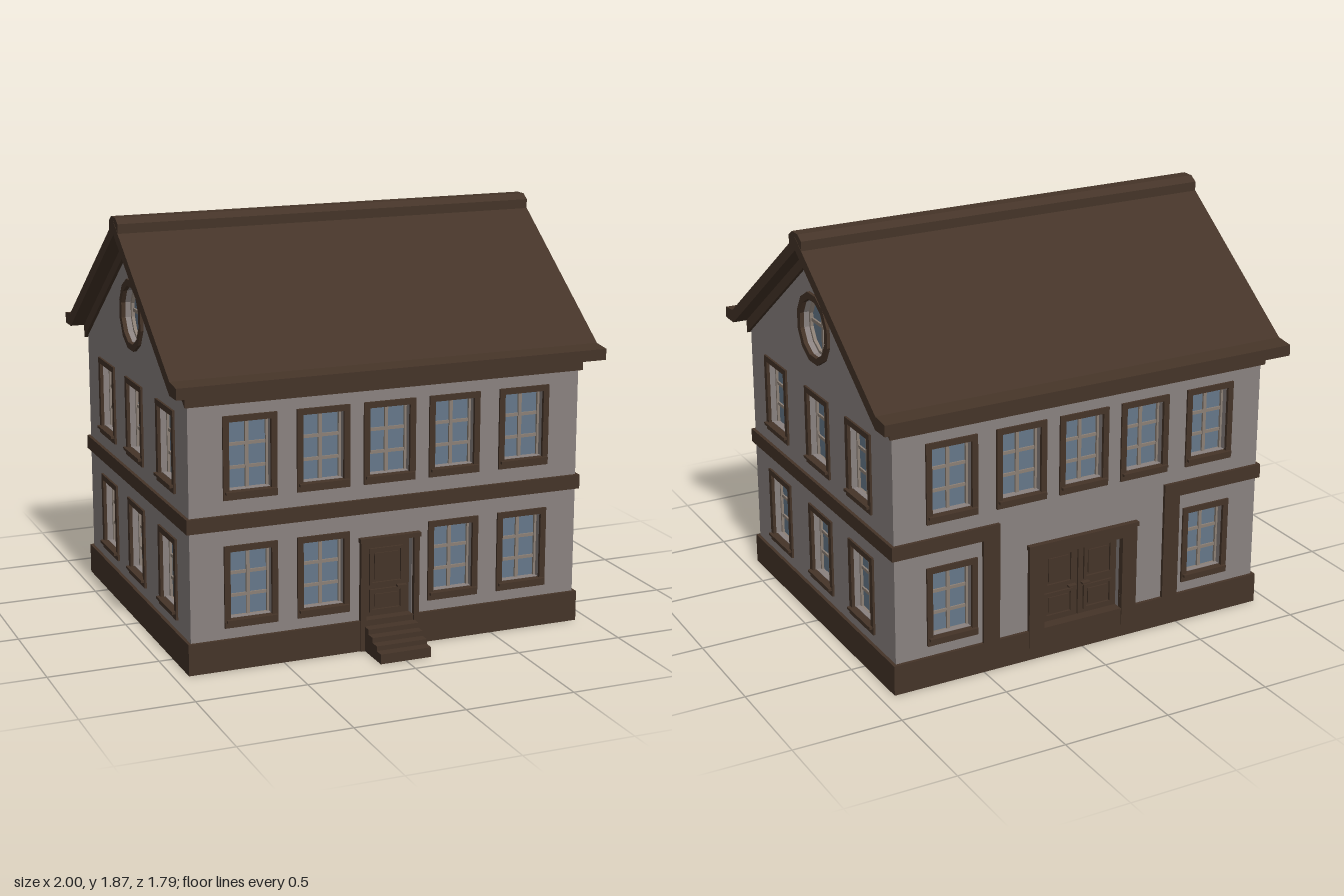
import * as THREE from 'three';

const mat = (name, color) => {
  const m = new THREE.MeshStandardMaterial({ color, flatShading: true });
  m.name = name;
  return m;
};
const M = {
  wall: mat('wall plaster', 0x8a8280),
  wood: mat('dark timber', 0x453428),
  bar: mat('window bar', 0x8c8076),
  glass: mat('window glass', 0x66788a),
};

// Half width, half depth and wall thickness
const HX = 0.92, HZ = 0.745, T = 0.06;

function add(parent, name, geo, m, x = 0, y = 0, z = 0) {
  const mesh = new THREE.Mesh(geo, m);
  mesh.name = name;
  mesh.position.set(x, y, z);
  parent.add(mesh);
  return mesh;
}

// Box given by its limits
function block(parent, name, m, x0, x1, y0, y1, z0, z1) {
  return add(parent, name, new THREE.BoxGeometry(x1 - x0, y1 - y0, z1 - z0), m,
    (x0 + x1) / 2, (y0 + y1) / 2, (z0 + z1) / 2);
}

const poly = (pts, Type = THREE.Shape) => new Type(pts.map(p => new THREE.Vector2(...p)));
const rect = (x0, x1, y0, y1) => [[x0, y0], [x1, y0], [x1, y1], [x0, y1]];
const ring = (r, n, cy = 0) => Array.from({ length: n }, (_, i) => {
  const a = (i + 0.5) / n * Math.PI * 2;
  return [r * Math.cos(a), cy + r * Math.sin(a)];
});

// Flat plate with holes, extruded towards +z
function plate(parent, name, m, outline, holes, z0, z1) {
  const shape = poly(outline);
  holes.forEach(h => shape.holes.push(poly(h, THREE.Path)));
  return add(parent, name,
    new THREE.ExtrudeGeometry(shape, { depth: z1 - z0, bevelEnabled: false }), m, 0, 0, z0);
}

// Recessed sash window, 2 x 3 panes; the wall surface lies at z = 0
function sashWindow(parent, x, y) {
  const g = new THREE.Group();
  g.name = 'sashWindow';
  g.position.set(x, y, 0);
  parent.add(g);
  plate(g, 'windowSurround', M.wood, rect(-0.122, 0.122, 0, 0.367),
    [rect(-0.095, 0.095, 0.028, 0.34)], -0.005, 0.01);
  block(g, 'windowSill', M.wood, -0.115, 0.115, 0.026, 0.038, -0.01, 0.025);
  block(g, 'innerSill', M.wall, -0.095, 0.095, 0.028, 0.04, -0.045, -0.01);
  block(g, 'windowGlass', M.glass, -0.095, 0.095, 0.03, 0.34, -0.052, -0.044);
  plate(g, 'sashFrame', M.bar, rect(-0.095, 0.095, 0.03, 0.34),
    [rect(-0.085, 0.085, 0.04, 0.33)], -0.046, -0.032);
  block(g, 'uprightBar', M.bar, -0.008, 0.008, 0.04, 0.33, -0.046, -0.034);
  for (const v of [0.13, 0.232]) block(g, 'crossBar', M.bar, -0.085, 0.085, v - 0.007, v + 0.007, -0.046, -0.036);
}

// Wall with openings and windows, facing local +z
function facade(house, name, outline, windows, extraHoles, angle, dist) {
  const g = new THREE.Group();
  g.name = name;
  g.rotation.y = angle;
  g.position.set(Math.sin(angle) * dist, 0, Math.cos(angle) * dist);
  house.add(g);
  const holes = windows.map(([x, y]) => rect(x - 0.096, x + 0.096, y + 0.027, y + 0.341));
  plate(g, name + 'Plaster', M.wall, outline, [...holes, ...extraHoles], -T, 0);
  windows.forEach(([x, y]) => sashWindow(g, x, y));
  return g;
}

// Round gable window
function roundWindow(g) {
  const y = 1.43;
  plate(g, 'roundSurround', M.wood, ring(0.163, 12, y), [ring(0.132, 12, y)], -0.005, 0.014);
  plate(g, 'roundGlass', M.glass, ring(0.134, 12, y), [], -0.053, -0.045);
  plate(g, 'roundSash', M.bar, ring(0.133, 12, y), [ring(0.12, 12, y)], -0.046, -0.03);
  block(g, 'roundUprightBar', M.bar, -0.008, 0.008, y - 0.124, y + 0.124, -0.046, -0.034);
  block(g, 'roundCrossBar', M.bar, -0.124, 0.124, y - 0.008, y + 0.008, -0.046, -0.036);
}

// Raised rim and field of a door panel
function doorPanel(g, x0, x1, y0, y1, z) {
  plate(g, 'panelRim', M.wood, rect(x0, x1, y0, y1),
    [rect(x0 + 0.012, x1 - 0.012, y0 + 0.012, y1 - 0.012)], z, z + 0.01);
  block(g, 'panelField', M.wood, x0 + 0.024, x1 - 0.024, y0 + 0.024, y1 - 0.024, z, z + 0.006);
}

// Extrusion of a z-y profile along x
function alongX(parent, name, pts, half) {
  const geo = new THREE.ExtrudeGeometry(poly(pts.map(([z, y]) => [-z, y])), { depth: 2 * half, bevelEnabled: false });
  geo.rotateY(Math.PI / 2);
  return add(parent, name, geo, M.wood, -half, 0, 0);
}
const mirrored = half => [...half, ...half.filter(p => p[0] > 0).reverse().map(([z, y]) => [-z, y])];

export function createModel() {
  const model = new THREE.Group();
  model.name = 'house';
  const house = new THREE.Group();
  house.name = 'houseBody';
  house.position.z = -0.04;
  model.add(house);
  const LOW = 0.19, HIGH = 0.76;
  const cols = [-0.645, -0.31, 0, 0.31, 0.65];
  const upper = cols.map(x => [x, HIGH]);

  // Plinth
  block(house, 'plinth', M.wood, -0.935, 0.935, 0, 0.14, -0.76, 0.76);

  // Front and back walls
  const longWall = rect(-HX, HX, 0.1, 1.23);
  const front = facade(house, 'frontWall', longWall,
    [...upper, ...cols.filter(x => x !== 0).map(x => [x, LOW])], [rect(-0.112, 0.112, 0.12, 0.5)], 0, HZ);
  const back = facade(house, 'backWall', longWall,
    [...upper, [-0.648, LOW], [0.648, LOW]], [rect(-0.2, 0.2, 0.12, 0.5)], Math.PI, HZ);

  // Gable walls
  const gable = [[-0.74, 0.1], [0.74, 0.1], [0.74, 1.22], [0, 1.77], [-0.74, 1.22]];
  const sideWindows = [-0.455, 0, 0.425].flatMap(z => [[z, LOW], [z, HIGH]]);
  for (const s of [1, -1]) {
    const w = facade(house, s > 0 ? 'leftGable' : 'rightGable', gable,
      sideWindows.map(([x, y]) => [x * s, y]), [ring(0.133, 12, 1.43)], s * Math.PI / 2, HX);
    roundWindow(w);
    block(w, 'sideBand', M.wood, -0.76, 0.76, 0.63, 0.695, -0.01, 0.015);
  }

  // Storey bands; at the back they turn down to the plinth beside the door
  block(front, 'frontBand', M.wood, -0.935, 0.935, 0.63, 0.695, -0.01, 0.015);
  for (const s of [1, -1]) {
    const pts = [[0.42, 0.13], [0.5, 0.13], [0.5, 0.63], [0.935, 0.63], [0.935, 0.695], [0.42, 0.695]]
      .map(([x, y]) => [x * s, y]);
    plate(back, 'backBand', M.wood, pts, [], -0.01, 0.015);
  }

  // Front door
  plate(front, 'frontDoorCasing', M.wood,
    [[-0.14, 0], [-0.115, 0], [-0.115, 0.5], [0.115, 0.5], [0.115, 0], [0.14, 0], [0.14, 0.52], [-0.14, 0.52]],
    [], -0.01, 0.022);
  block(front, 'frontDoorLintel', M.wood, -0.145, 0.145, 0.5, 0.52, 0, 0.028);
  block(front, 'frontDoor', M.wood, -0.115, 0.115, 0.12, 0.505, -0.05, -0.03);
  doorPanel(front, -0.08, 0.08, 0.285, 0.455, -0.03);
  doorPanel(front, -0.08, 0.08, 0.16, 0.265, -0.03);
  block(front, 'frontDoorHandle', M.wood, 0.05, 0.095, 0.266, 0.274, -0.03, -0.008);

  // Front steps
  [[0.045, 0.195], [0.067, 0.15], [0.09, 0.105], [0.113, 0.06]].forEach(([h, z]) =>
    block(front, 'frontStep', M.wood, -0.12, 0.12, 0, h, 0, z));

  // Back double door
  plate(back, 'backDoorCasing', M.wood,
    [[-0.275, 0.06], [-0.2, 0.06], [-0.2, 0.49], [0.2, 0.49], [0.2, 0.06], [0.275, 0.06], [0.275, 0.555], [-0.275, 0.555]],
    [], -0.01, 0.02);
  block(back, 'backDoorLintel', M.wood, -0.28, 0.28, 0.535, 0.555, 0, 0.026);
  for (const s of [1, -1]) {
    const x0 = s > 0 ? 0.003 : -0.2, x1 = x0 + 0.197;
    block(back, 'backDoorLeaf', M.wood, x0, x1, 0.12, 0.5, -0.055, -0.035);
    doorPanel(back, x0 + 0.025, x1 - 0.025, 0.31, 0.47, -0.035);
    doorPanel(back, x0 + 0.025, x1 - 0.025, 0.16, 0.28, -0.035);
    block(back, 'backDoorHandle', M.wood, s * 0.035 - 0.02, s * 0.035 + 0.02, 0.29, 0.298, -0.035, -0.012);
  }

  // Roof: inner layer, overhanging outer layer with eaves, ridge cap
  alongX(house, 'roofInnerLayer', mirrored([[0, 1.74], [0.76, 1.18], [0.76, 1.27], [0, 1.825]])
    .filter((p, i, a) => i < 4 || p[0] < 0), 0.935);
  alongX(house, 'roofOuterLayer', [
    [0, 1.795], [0.76, 1.24], [0.85, 1.24], [0.85, 1.29], [0.765, 1.3], [0, 1.855],
    [-0.765, 1.3], [-0.85, 1.29], [-0.85, 1.24], [-0.76, 1.24]], 1);
  alongX(house, 'ridgeCap', [
    [-0.065, 1.8], [0.065, 1.8], [0.065, 1.85], [0.03, 1.873], [-0.03, 1.873], [-0.065, 1.85]], 0.999);

  return model;
}
